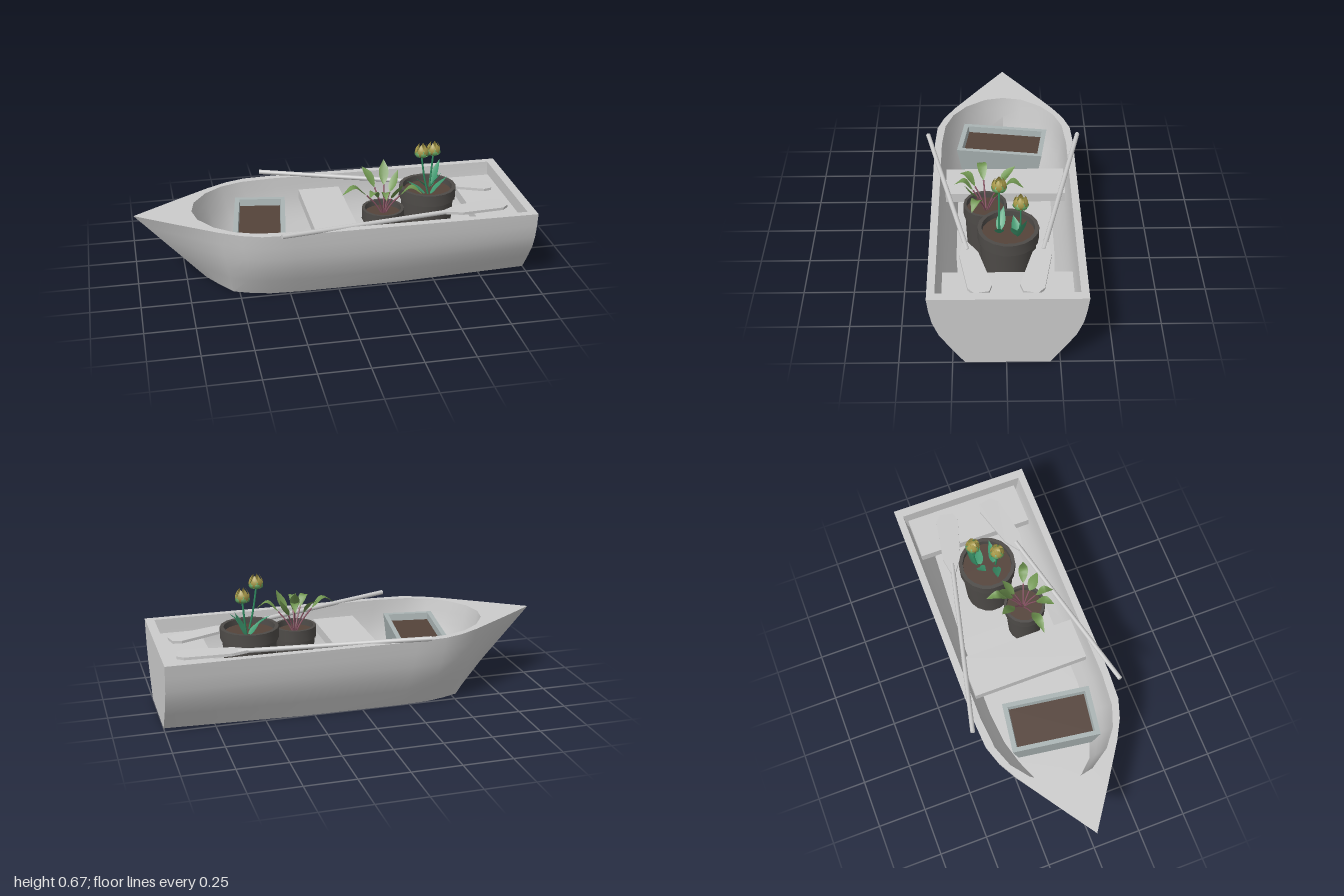
import * as THREE from 'three';
import { toCreasedNormals } from 'three/addons/utils/BufferGeometryUtils.js';

const V = (x, y, z) => new THREE.Vector3(x, y, z);
const mat = (color = 0xcccccc, extra = {}) => new THREE.MeshStandardMaterial({ color, ...extra });
const GREY = mat();
const SOIL = mat(0x54433a);
const POT = mat(0x4e4b48, { side: THREE.DoubleSide });
const BOX = mat(0xaab4b4);
const leafMat = (c) => mat(c, { side: THREE.DoubleSide });
const TULIP_LEAF = leafMat(0x3f9a70), TULIP_STEM = mat(0x2f8f62);
const PETAL = leafMat(0xa89a4a), SEPAL = leafMat(0x5d9a5a);
const PLANT_LEAF = leafMat(0x6f9450), PLANT_STEM = mat(0x8a5565);

function add(parent, name, geometry, material, pos = [0, 0, 0]) {
  const m = new THREE.Mesh(geometry, material);
  m.name = name;
  m.position.set(...pos);
  parent.add(m);
  return m;
}

function group(parent, name, pos = [0, 0, 0]) {
  const g = new THREE.Group();
  g.name = name;
  g.position.set(...pos);
  parent.add(g);
  return g;
}

// Grid of points [row][column] to an indexed surface
function gridGeometry(rows) {
  const n = rows[0].length, index = [];
  for (let j = 0; j < rows.length - 1; j++)
    for (let i = 0; i < n - 1; i++) {
      const a = j * n + i, b = a + 1, c = a + n, d = c + 1;
      index.push(a, b, c, b, d, c);
    }
  const g = new THREE.BufferGeometry();
  g.setAttribute('position', new THREE.Float32BufferAttribute(rows.flat().flatMap((p) => p.toArray()), 3));
  g.setIndex(index);
  g.computeVertexNormals();
  return g;
}

// Hull: half outlines [x, z] from stern centre to bow, swept with one section
function hullGeometry() {
  const outTop = [[1, 0], [1, 0.367], [0.3, 0.367], [-0.25, 0.367], [-0.4, 0.358], [-0.5, 0.325], [-0.6, 0.27], [-0.8, 0.137], [-1, 0]];
  const outLow = [[1, 0], [1, 0.198], [0.3, 0.24], [-0.2, 0.243], [-0.35, 0.235], [-0.45, 0.21], [-0.53, 0.18], [-0.6, 0.08], [-0.65, 0]];
  const inTop = [[0.955, 0], [0.955, 0.33], [0.3, 0.33], [-0.25, 0.33], [-0.42, 0.315], [-0.53, 0.275], [-0.62, 0.205], [-0.69, 0.1], [-0.71, 0]];
  const inLow = [[0.955, 0], [0.955, 0.21], [0.3, 0.25], [-0.15, 0.25], [-0.32, 0.235], [-0.45, 0.2], [-0.56, 0.155], [-0.63, 0.08], [-0.67, 0]];
  const heights = [0, 0.26, 0.45, 0.64, 0.82, 1], bulge = [0, 0.42, 0.7, 0.87, 0.95, 1];
  const section = (k, s) => {
    const wall = (lo, hi, y0) => heights.map((h, i) => V(
      THREE.MathUtils.lerp(lo[k][0], hi[k][0], h),
      THREE.MathUtils.lerp(y0, 0.383, h),
      s * THREE.MathUtils.lerp(lo[k][1], hi[k][1], bulge[i])));
    return [V(outLow[k][0], 0, 0), ...wall(outLow, outTop, 0), ...wall(inLow, inTop, 0.06).reverse(), V(inLow[k][0], 0.06, 0)];
  };
  const last = outTop.length - 1, rows = [];
  for (let k = 0; k <= last; k++) rows.push(section(k, 1));
  for (let k = last - 1; k >= 0; k--) rows.push(section(k, -1));
  return toCreasedNormals(gridGeometry(rows), 0.55);
}

// Pointed, slightly folded leaf along a curve
function leafGeometry(points, width, steps = 8) {
  const curve = new THREE.CatmullRomCurve3(points);
  const dir = points.at(-1).clone().sub(points[0]).setY(0).normalize();
  const side = V(0, 1, 0).cross(dir);
  const rows = [];
  for (let j = 0; j <= steps; j++) {
    const t = j / steps, p = curve.getPoint(t);
    const w = width / 2 * Math.max(0.03, Math.sin(Math.PI * Math.pow(t, 0.85)));
    const fold = curve.getTangent(t).cross(side).multiplyScalar(w * 0.3);
    rows.push([p.clone().addScaledVector(side, -w), p.clone().sub(fold), p.clone().addScaledVector(side, w)]);
  }
  return gridGeometry(rows);
}

const stem = (points, r) => new THREE.TubeGeometry(new THREE.CatmullRomCurve3(points), 10, r, 6);

// Pot standing on the floor, with a thicker rim and soil
function pot(parent, name, x, z, r, top) {
  const g = group(parent, name, [x, 0, z]);
  const y = 0.06, profile = [[0, y], [r * 0.82, y], [r * 0.93, top - 0.06], [r, top - 0.06], [r, top], [r * 0.87, top], [r * 0.85, top - 0.06]];
  const lathe = new THREE.LatheGeometry(profile.map((p) => new THREE.Vector2(...p)), 18);
  add(g, 'potBody', toCreasedNormals(lathe, 0.5), POT);
  add(g, 'potSoil', new THREE.CylinderGeometry(r * 0.87, r * 0.87, 0.02, 18), SOIL, [0, top - 0.04, 0]);
}

// Ring of curved petals
function petals(parent, name, count, turn, r, h, width, material) {
  for (let i = 0; i < count; i++) {
    const a = turn + i / count * Math.PI * 2;
    const at = (k, y) => V(Math.cos(a) * r * k, y * h, Math.sin(a) * r * k);
    add(parent, name, leafGeometry([at(0.1, 0), at(0.9, 0.25), at(1, 0.6), at(0.55, 1)], width), material);
  }
}

function flower(parent, base, tip) {
  const g = group(parent, 'flower');
  const mid = V(tip.x * 0.6 + base.x * 0.4, (base.y + tip.y) / 2, tip.z);
  add(g, 'flowerStem', stem([base, mid, tip], 0.005), TULIP_STEM);
  const bud = group(g, 'flowerBud', tip.toArray());
  petals(bud, 'innerPetal', 4, 0.4, 0.022, 0.068, 0.036, PETAL);
  petals(bud, 'outerPetal', 6, 0, 0.031, 0.074, 0.032, PETAL);
  petals(bud, 'sepal', 6, 0.52, 0.034, 0.045, 0.028, SEPAL);
}

function oar(parent, s) {
  const start = V(-0.31, 0.4, 0.398 * s), end = V(0.91, 0.337, 0.11 * s);
  const g = group(parent, s > 0 ? 'frontOar' : 'backOar', start.toArray());
  g.quaternion.setFromUnitVectors(V(1, 0, 0), end.clone().sub(start).normalize());
  const shaft = new THREE.CylinderGeometry(0.012, 0.012, 0.95, 10).rotateZ(-Math.PI / 2);
  add(g, 'oarShaft', shaft, GREY, [0.475, 0, 0]);
  const half = [[0.9, 0.014], [0.98, 0.046], [1.21, 0.058], [1.25, 0.034]];
  const outline = [...half, ...half.map(([x, z]) => [x, -z]).reverse()];
  const blade = new THREE.ExtrudeGeometry(new THREE.Shape(outline.map((p) => new THREE.Vector2(...p))), { depth: 0.014, bevelEnabled: false });
  add(g, 'oarBlade', blade.rotateX(-Math.PI / 2).translate(0, -0.007, 0), GREY);
}

// Tapered open box with soil, turned a little
function planter(parent) {
  const g = group(parent, 'planterBox', [-0.365, 0.14, 0.002]);
  g.rotation.y = -0.145;
  const rect = (w, d, T) => new T([[-w, -d], [w, -d], [w, d], [-w, d]].map((p) => new THREE.Vector2(p[0] / 2, p[1] / 2)));
  const shape = rect(0.262, 0.455, THREE.Shape);
  shape.holes.push(rect(0.215, 0.405, THREE.Path));
  const geo = new THREE.ExtrudeGeometry(shape, { depth: 0.19, bevelEnabled: false }).rotateX(-Math.PI / 2);
  const p = geo.attributes.position;
  for (let i = 0; i < p.count; i++) {
    const k = 0.86 + 0.14 * p.getY(i) / 0.19;
    p.setX(i, p.getX(i) * k);
    p.setZ(i, p.getZ(i) * k);
  }
  geo.computeVertexNormals();
  add(g, 'planterWalls', geo, BOX);
  add(g, 'planterSoil', new THREE.BoxGeometry(0.213, 0.02, 0.403), SOIL, [0, 0.145, 0]);
}

export function createModel() {
  const boat = new THREE.Group();
  boat.name = 'rowingBoat';
  add(boat, 'hull', hullGeometry(), GREY, [0, 0, -0.006]);
  add(boat, 'middleSeat', new THREE.BoxGeometry(0.22, 0.05, 0.61), GREY, [0, 0.29, -0.008]);
  add(boat, 'sternSeat', new THREE.BoxGeometry(0.225, 0.05, 0.61), GREY, [0.843, 0.29, -0.008]);
  for (const s of [1, -1]) oar(boat, s);
  planter(boat);

  // Large pot with two flowers and upright leaves
  pot(boat, 'largePot', 0.523, -0.015, 0.148, 0.42);
  const flowers = group(boat, 'flowers');
  flower(flowers, V(0.52, 0.37, 0.028), V(0.475, 0.598, 0.028));
  flower(flowers, V(0.545, 0.37, -0.06), V(0.565, 0.562, -0.072));
  const blades = [
    [0.51, 0.03, 0.41, 0.005, 0.46], [0.52, 0.028, 0.615, 0.03, 0.48],
    [0.54, -0.06, 0.47, -0.04, 0.45], [0.55, -0.06, 0.61, -0.1, 0.525], [0.54, -0.055, 0.6, -0.03, 0.475],
  ];
  for (const [x, z, tx, tz, y] of blades) {
    const at = (k, h) => V(x + (tx - x) * k, h, z + (tz - z) * k);
    add(flowers, 'flowerLeaf', leafGeometry([at(0, 0.38), at(0.4, 0.38 + (y - 0.38) * 0.5), at(1, y)], 0.045), TULIP_LEAF);
  }

  // Small pot with an arching leafy plant: tip x, tip z, peak height, tip height, width
  pot(boat, 'smallPot', 0.26, 0.095, 0.108, 0.365);
  const plant = group(boat, 'leafyPlant');
  const leaves = [
    [0.305, -0.095, 0.53, 0.49, 0.045], [0.29, -0.035, 0.53, 0.575, 0.05], [0.18, -0.055, 0.51, 0.535, 0.05],
    [0.04, 0.12, 0.5, 0.46, 0.05], [0.16, 0.22, 0.5, 0.48, 0.045], [0.24, 0.245, 0.5, 0.47, 0.04],
    [0.335, 0.195, 0.48, 0.53, 0.055], [0.45, 0.16, 0.49, 0.45, 0.05], [0.355, 0.01, 0.48, 0.53, 0.045],
  ];
  for (const [tx, tz, peak, tip, w] of leaves) {
    const at = (k, h) => V(0.265 + (tx - 0.265) * k, h, 0.09 + (tz - 0.09) * k);
    const joint = at(0.42, 0.325 + (peak - 0.325) * 0.68);
    add(plant, 'leafStalk', stem([at(0.03, 0.325), at(0.2, 0.325 + (peak - 0.325) * 0.36), joint], 0.004), PLANT_STEM);
    add(plant, 'leaf', leafGeometry([joint, at(0.7, peak), at(1, tip)], w), PLANT_LEAF);
  }
  return boat;
}
